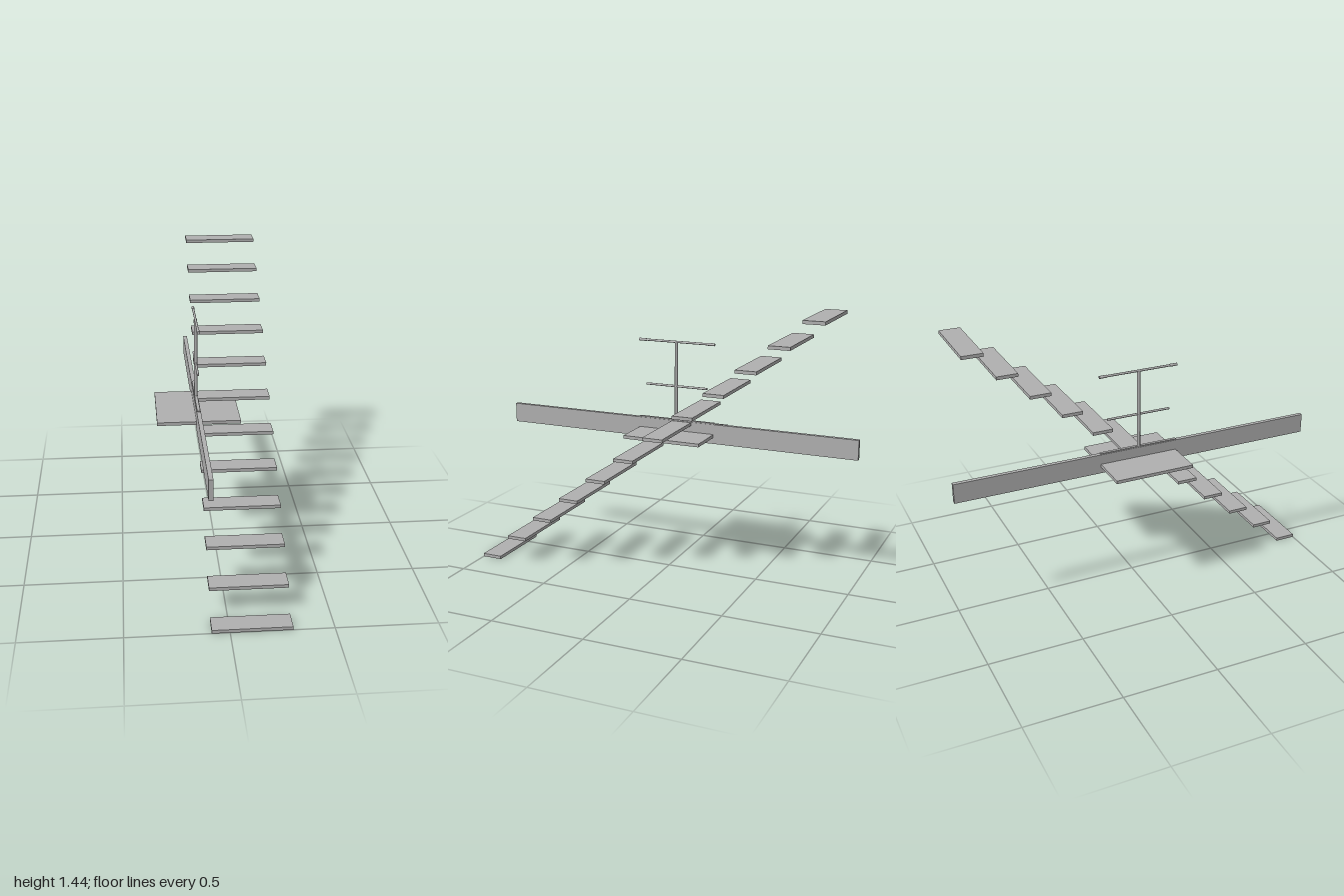
import * as THREE from 'three';

export function createModel() {
  const group = new THREE.Group();
  const grey = new THREE.MeshStandardMaterial({ color: 0xb0b0b0 });
  grey.name = 'grey';

  const add = (name, geometry, x, y, z) => {
    const mesh = new THREE.Mesh(geometry, grey);
    mesh.name = name;
    mesh.position.set(x, y, z);
    group.add(mesh);
    return mesh;
  };
  // box given by its min and max along each axis
  const box = (name, [x0, x1], [y0, y1], [z0, z1]) =>
    add(name, new THREE.BoxGeometry(x1 - x0, y1 - y0, z1 - z0),
      (x0 + x1) / 2, (y0 + y1) / 2, (z0 + z1) / 2);
  // round bar running along z
  const bar = (name, radius, y, z0, z1) => {
    const geometry = new THREE.CylinderGeometry(radius, radius, z1 - z0, 16).rotateX(Math.PI / 2);
    return add(name, geometry, beamX, y, (z0 + z1) / 2);
  };
  const beamX = -0.089;

  // floating flight of twelve treads, rising towards the back
  for (let i = 0; i < 12; i++) {
    const y = i * 0.1297, z = 0.945 - i * 0.1636;
    box(`tread${i + 1}`, [-0.087, 0.3], [y, y + 0.017], [z - 0.055, z + 0.055]);
  }

  // long beam and the platform crossing it
  box('beam', [-0.1, -0.078], [0.693, 0.798], [-1, 0.988]);
  box('platform', [-0.302, 0.128], [0.727, 0.744], [-0.22, 0.207]);

  // post with its foot strip and two rails
  box('footStrip', [-0.097, -0.081], [0.796, 0.804], [-0.22, 0.21]);
  add('post', new THREE.CylinderGeometry(0.009, 0.009, 0.425, 16), beamX, 1.01, -0.003);
  bar('middleRail', 0.006, 0.984, -0.178, 0.17);
  bar('topRail', 0.006, 1.222, -0.218, 0.21);

  // grips at the ends of the top rail
  bar('frontGrip', 0.0075, 1.222, 0.17, 0.211);
  bar('backGrip', 0.0075, 1.222, -0.219, -0.178);

  return group;
}
